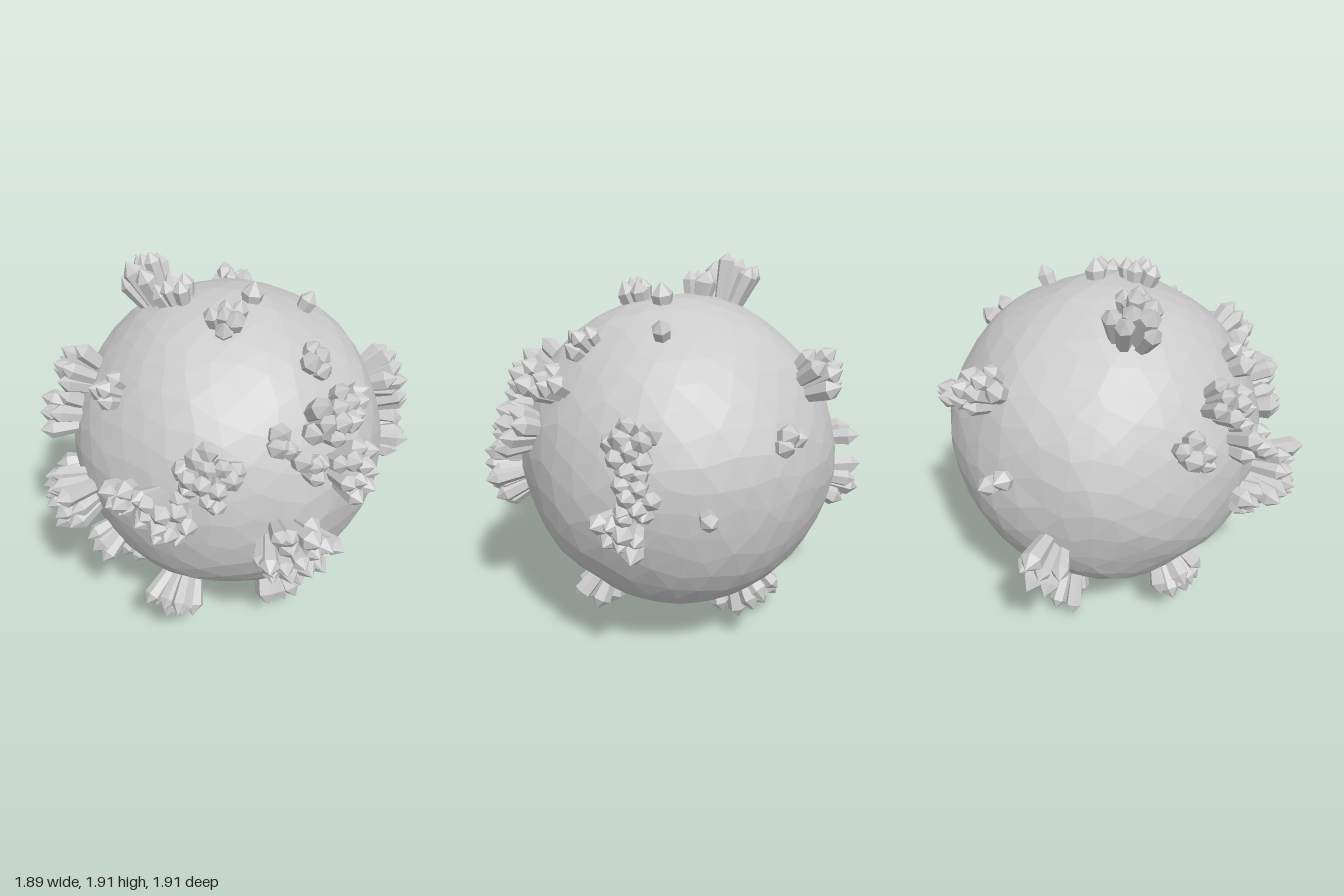
import * as THREE from 'three';
import { mergeGeometries } from 'three/addons/utils/BufferGeometryUtils.js';

const CENTRE = new THREE.Vector3(0.06, 0.96, -0.02);
const RADIUS = 0.795;

// Clusters per region: position x, y, z (projected onto the boulder), crystal count, crystal length
const CLUSTERS = {
  frontCrystals: [
    [0.1, 1.61, 0.5, 4, 0.13], [-0.03, 1.41, 0.68, 7, 0.2], [0.16, 1.42, 0.66, 5, 0.15],
    [-0.26, 1.37, 0.6, 3, 0.13], [-0.17, 1.24, 0.68, 4, 0.15], [0.02, 1.18, 0.74, 10, 0.2],
    [-0.28, 0.87, 0.69, 20, 0.23],
  ],
  leftFlankCrystals: [
    [0.65, 1.28, 0.48, 9, 0.18], [0.71, 1.08, 0.49, 8, 0.18], [0.67, 0.9, 0.53, 8, 0.17],
    [0.87, 0.97, 0.22, 1, 0.13], [0.78, 1.24, -0.21, 3, 0.11], [0.62, 1.48, -0.54, 8, 0.2],
  ],
  rightFlankCrystals: [
    [-0.53, 1.26, 0.44, 13, 0.2], [-0.69, 1.07, 0.34, 12, 0.21], [-0.74, 1.06, 0.1, 5, 0.14],
    [-0.77, 0.88, -0.27, 13, 0.23], [-0.65, 0.86, -0.45, 4, 0.14], [-0.62, 1.21, -0.46, 6, 0.2],
    [-0.6, 1.47, -0.16, 4, 0.13], [-0.65, 0.63, -0.14, 4, 0.15],
  ],
  backCrystals: [
    [-0.52, 1.41, -0.46, 7, 0.2], [-0.38, 1.26, -0.64, 5, 0.17],
    [0.28, 0.72, -0.83, 7, 0.24], [0.5, 1.08, -0.7, 2, 0.13],
  ],
  topCrystals: [
    [-0.1, 1.74, -0.41, 7, 0.25], [-0.12, 1.78, -0.22, 5, 0.14], [-0.11, 1.78, 0.13, 6, 0.12],
    [0.11, 1.78, 0.09, 1, 0.11], [0.38, 1.71, 0.22, 1, 0.1],
  ],
  lowerCrystals: [
    [-0.5, 0.41, 0.21, 9, 0.23], [0, 0.21, 0.41, 7, 0.2], [-0.32, 0.28, -0.37, 12, 0.21],
    [0.25, 0.18, -0.36, 9, 0.24], [0.57, 0.34, -0.18, 2, 0.13], [0.33, 0.16, -0.14, 1, 0.12],
  ],
};

function seeded(seed) {
  return () => {
    seed = (seed * 16807) % 2147483647;
    return seed / 2147483647;
  };
}

// Slightly lumpy, faceted ball with a flattened patch low on the front
function boulder(material) {
  const geometry = new THREE.IcosahedronGeometry(1, 6);
  const p = geometry.attributes.position;
  const v = new THREE.Vector3();
  const patch = new THREE.Vector3(0.2, -0.65, 0.73).normalize();
  for (let i = 0; i < p.count; i++) {
    v.fromBufferAttribute(p, i);
    const { x, y, z } = v;
    // Slide corners sideways for irregular facets, less so near the top
    const slide = 0.03 * (1 - 0.5 * Math.max(y, 0));
    v.x += slide * Math.sin(23 * y + 17 * z);
    v.y += slide * Math.sin(21 * z + 19 * x);
    v.z += slide * Math.sin(25 * x + 15 * y);
    const bump = 0.006 * (Math.sin(9 * x + 5 * z) + Math.sin(8 * y - 7 * x));
    v.normalize();
    const flat = Math.min(1, 0.98 / Math.max(v.dot(patch), 0.1));
    v.multiplyScalar(RADIUS * (1 + bump) * flat);
    p.setXYZ(i, v.x, v.y, v.z);
  }
  geometry.computeVertexNormals();
  const mesh = new THREE.Mesh(geometry, material);
  mesh.name = 'boulder';
  mesh.position.copy(CENTRE);
  return mesh;
}

// Six-sided crystal, widest at its shoulder and sunk a little into the boulder
function crystal(radius, length) {
  const profile = [
    [radius * 0.65, -0.06], [radius, length - radius * 1.1], [0, length],
  ].map(([x, y]) => new THREE.Vector2(x, y));
  return new THREE.LatheGeometry(profile, 6);
}

// Crystals in a sunflower layout, fanning out from the cluster's middle
function cluster([x, y, z, count, length], random) {
  const up = new THREE.Vector3(0, 1, 0);
  const normal = new THREE.Vector3(x, y, z).sub(CENTRE).normalize();
  const frame = new THREE.Quaternion().setFromUnitVectors(up, normal);
  const spread = 0.028 * Math.sqrt(count);
  const parts = [];
  const start = random() * 6;
  for (let i = 0; i < count; i++) {
    const t = count > 1 ? Math.sqrt((i + 0.3) / count) : 0;
    const angle = start + i * 2.4 + 0.5 * random();
    const offset = new THREE.Vector3(Math.cos(angle), 0, Math.sin(angle))
      .multiplyScalar(t * spread).applyQuaternion(frame);
    const root = normal.clone().multiplyScalar(RADIUS).add(offset).setLength(RADIUS - 0.01);
    const lean = root.clone().normalize().addScaledVector(offset, 3).normalize();
    const size = length * (1.05 - 0.45 * t * random());
    const geometry = crystal(0.042 + 0.014 * random(), size);
    geometry.rotateY(random() * 3);
    geometry.applyQuaternion(new THREE.Quaternion().setFromUnitVectors(up, lean));
    geometry.translate(root.x, root.y, root.z);
    parts.push(geometry);
  }
  return mergeGeometries(parts);
}

export function createModel() {
  const model = new THREE.Group();
  model.name = 'crystalBoulder';
  const material = new THREE.MeshStandardMaterial({ color: 0xcccccc, flatShading: true });
  const random = seeded(4821);
  model.add(boulder(material));
  for (const [name, list] of Object.entries(CLUSTERS)) {
    const group = new THREE.Group();
    group.name = name;
    group.position.copy(CENTRE);
    for (const spec of list) {
      const mesh = new THREE.Mesh(cluster(spec, random), material);
      mesh.name = 'crystalCluster';
      group.add(mesh);
    }
    model.add(group);
  }
  return model;
}
